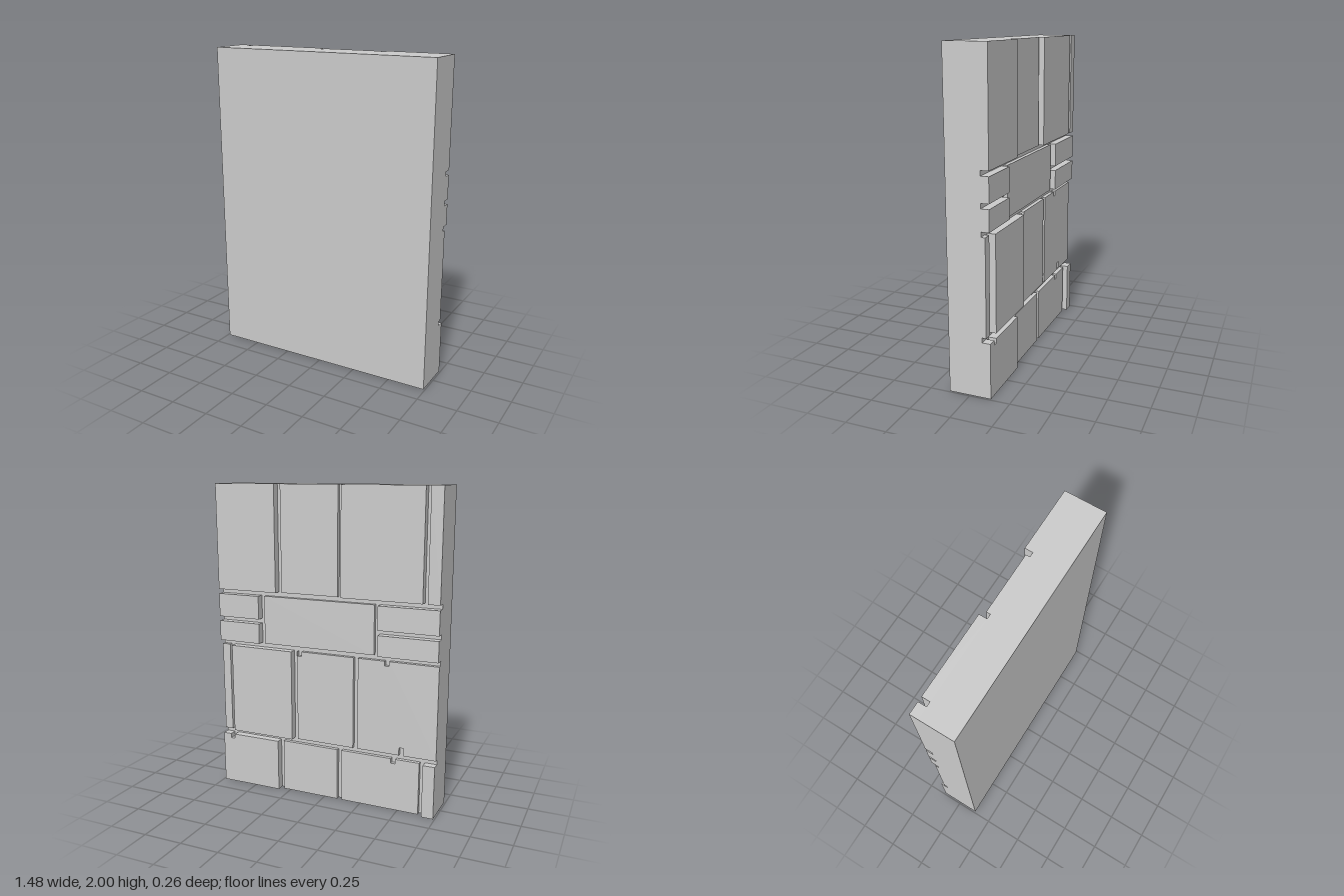
import * as THREE from 'three';

const material = new THREE.MeshStandardMaterial({ color: 0xcccccc, flatShading: true });
const HALF = 0.74;       // half width of the slab
const FLOOR = 0.08;      // groove floor, measured towards the back
const HIGH = 0.13;       // proud panels
const LOW = 0.105;       // recessed panels
const NOTCH = 0.03;      // width of the small notches

// One raised panel; notches = [centre x, length], cut from the top or bottom edge
function panel(name, x0, x1, y0, y1, height, top = [], bottom = []) {
  const s = new THREE.Shape();
  s.moveTo(x0, y0);
  for (const [c, len] of bottom) {
    s.lineTo(c - NOTCH / 2, y0);
    s.lineTo(c - NOTCH / 2, y0 + len);
    s.lineTo(c + NOTCH / 2, y0 + len);
    s.lineTo(c + NOTCH / 2, y0);
  }
  s.lineTo(x1, y0);
  s.lineTo(x1, y1);
  for (const [c, len] of top) {
    s.lineTo(c + NOTCH / 2, y1);
    s.lineTo(c + NOTCH / 2, y1 - len);
    s.lineTo(c - NOTCH / 2, y1 - len);
    s.lineTo(c - NOTCH / 2, y1);
  }
  s.lineTo(x0, y1);
  s.closePath();
  const geo = new THREE.ExtrudeGeometry(s, { depth: height - FLOOR, bevelEnabled: false });
  geo.translate(0, 0, -height);
  const mesh = new THREE.Mesh(geo, material);
  mesh.name = name;
  return mesh;
}

export function createModel() {
  const group = new THREE.Group();
  group.name = 'panelledSlab';

  // Solid slab up to the groove floor
  const slab = new THREE.Mesh(new THREE.BoxGeometry(HALF * 2, 2, HIGH + FLOOR), material);
  slab.position.set(0, 1, (HIGH - FLOOR) / 2);
  slab.name = 'slab';
  group.add(slab);

  // Rows of back panels: [x0, x1, height, top notches, bottom notches]
  const rows = [
    { name: 'bottomPanel', y: [0, 0.34], panels: [
      [-HALF, -0.665, HIGH],
      [-0.635, -0.12, LOW, [[-0.467, 0.03]]],
      [-0.09, 0.295, LOW],
      [0.325, HALF, HIGH, [[0.67, 0.03]]],
    ] },
    { name: 'middlePanel', y: [0.37, 0.96], panels: [
      [-HALF, -0.227, LOW, [[-0.415, 0.03]], [[-0.518, 0.05]]],
      [-0.197, 0.19, LOW, [[0.174, 0.03]]],
      [0.22, 0.655, HIGH],
      [0.685, HALF, LOW],
    ] },
    { name: 'lowerBandPanel', y: [0.99, 1.12], panels: [
      [-HALF, -0.36, HIGH],
      [0.45, HALF, HIGH],
    ] },
    { name: 'upperBandPanel', y: [1.15, 1.30], panels: [
      [-HALF, -0.36, HIGH],
      [0.45, HALF, HIGH],
    ] },
    { name: 'centreBandPanel', y: [0.99, 1.30], panels: [
      [-0.33, 0.42, LOW],
    ] },
    { name: 'topPanel', y: [1.33, 2], panels: [
      [-HALF, -0.665, HIGH],
      [-0.635, -0.12, HIGH],
      [-0.09, 0.295, LOW],
      [0.325, HALF, HIGH],
    ] },
  ];
  for (const { name, y, panels } of rows) {
    for (const [x0, x1, height, top, bottom] of panels) {
      group.add(panel(name, x0, x1, y[0], y[1], height, top, bottom));
    }
  }
  return group;
}
